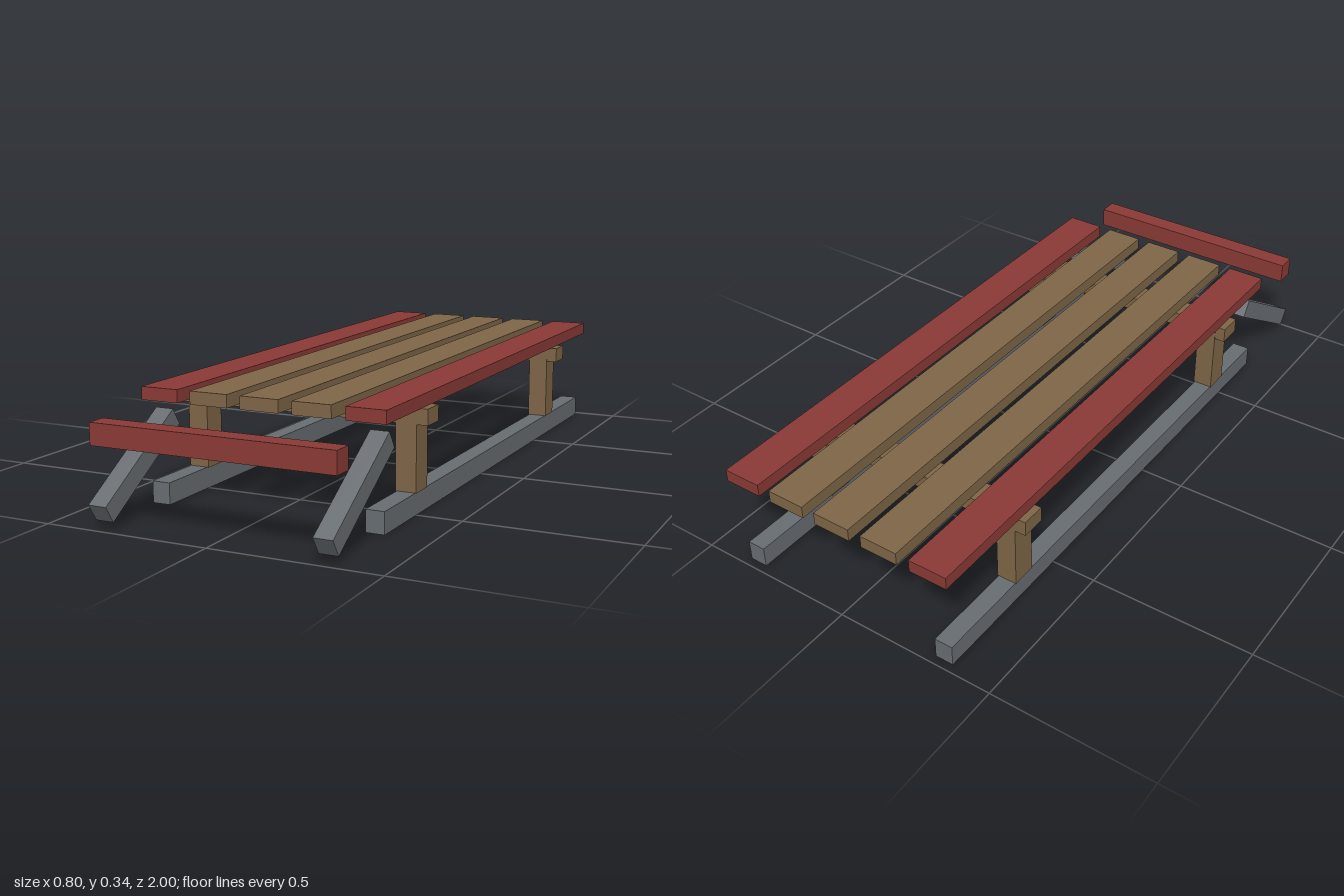
import * as THREE from 'three';

export function createModel() {
  const model = new THREE.Group();
  model.name = 'sled';

  const material = (name, color) => {
    const m = new THREE.MeshStandardMaterial({ color });
    m.name = name;
    return m;
  };
  const red = material('red paint', 0x8b3a36);
  const wood = material('brown wood', 0x7f6547);
  const steel = material('grey steel', 0x686d72);

  // Adds a named bar of the given size, centred on the given position
  const bar = (name, mat, size, position) => {
    const mesh = new THREE.Mesh(new THREE.BoxGeometry(...size), mat);
    mesh.name = name;
    mesh.position.set(...position);
    model.add(mesh);
    return mesh;
  };

  // Deck: five lengthwise slats, the outer two painted red
  for (let i = -2; i <= 2; i++) {
    const outer = Math.abs(i) === 2;
    bar(outer ? 'outerSlat' : 'innerSlat', outer ? red : wood,
      [0.118, 0.038, 1.724], [i * 0.159, 0.32, -0.138]);
  }

  // Cross beams under the deck, each carried by two posts
  for (const z of [0.468, -0.649]) {
    bar('crossBeam', wood, [0.796, 0.046, 0.075], [0, 0.279, z]);
    for (const side of [-1, 1]) {
      bar('post', wood, [0.062, 0.238, 0.077], [side * 0.334, 0.182, z]);
    }
  }

  // Runners, with a slanted bar ahead of each
  for (const side of [-1, 1]) {
    bar('runner', steel, [0.056, 0.064, 1.68], [side * 0.335, 0.032, -0.135]);
    const slant = bar('slantedFrontBar', steel, [0.056, 0.058, 0.383], [side * 0.335, 0.146, 0.822]);
    slant.rotation.x = 0.56;
  }

  // Steering bar at the front
  bar('steeringBar', red, [0.73, 0.063, 0.06], [0, 0.257, 0.949]);

  return model;
}
